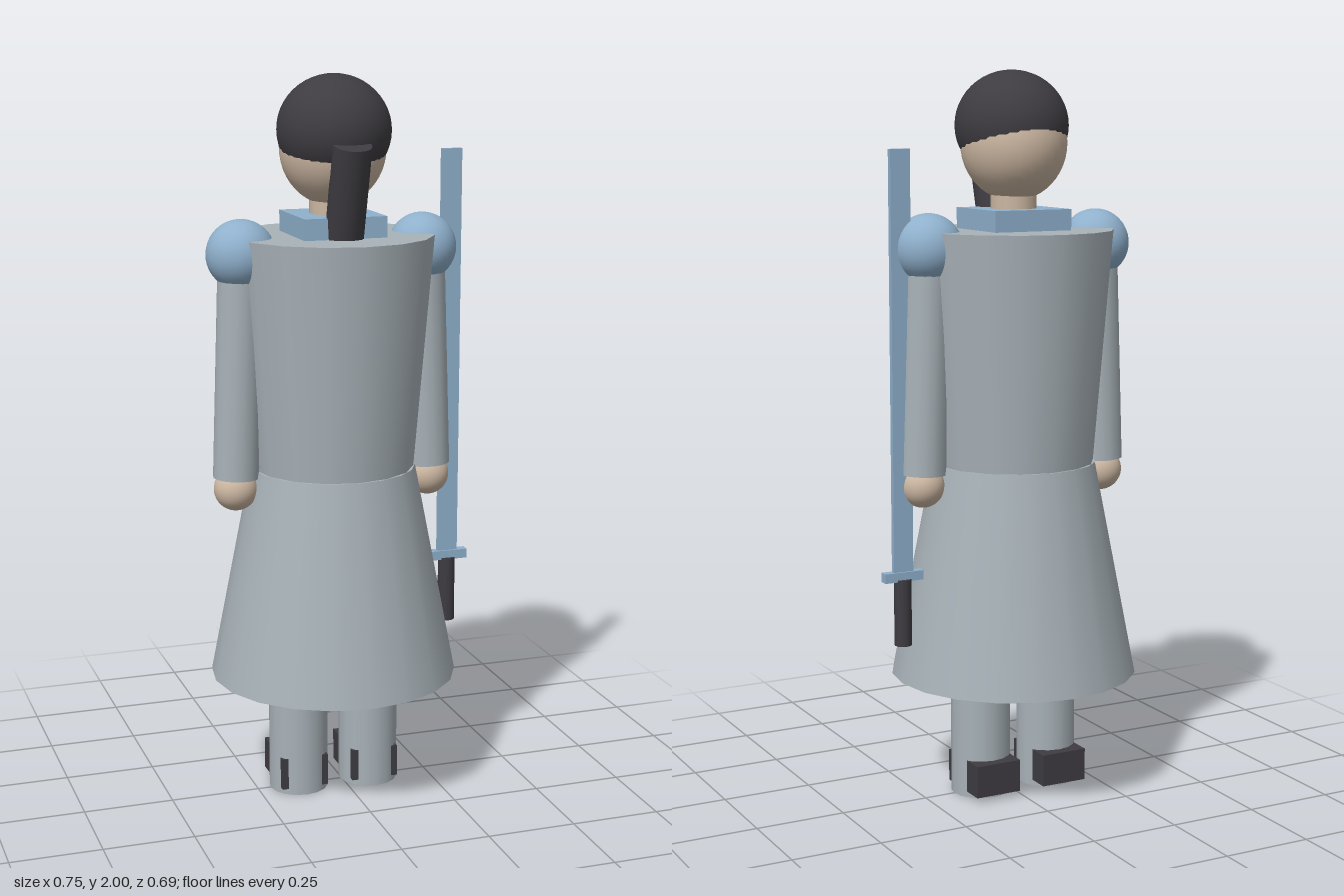
import * as THREE from 'three';

export function createModel() {
  const model = new THREE.Group();
  model.name = 'swordFigure';

  const mat = (name, color) => {
    const m = new THREE.MeshStandardMaterial({ color });
    m.name = name;
    return m;
  };
  const cloth = mat('greyCloth', 0xa8b2b8);
  const steel = mat('blueSteel', 0x8fb0cc);
  const skin = mat('skin', 0xccb7a2);
  const dark = mat('darkHair', 0x3e3c41);

  const CX = -0.026; // body axis

  const add = (name, geometry, material, x, y, z) => {
    const mesh = new THREE.Mesh(geometry, material);
    mesh.name = name;
    mesh.position.set(x, y, z);
    model.add(mesh);
    return mesh;
  };
  const ball = (name, material, x, y, z, rx, ry = rx, rz = rx) => {
    const mesh = add(name, new THREE.SphereGeometry(1, 32, 24), material, x, y, z);
    mesh.scale.set(rx, ry, rz);
    return mesh;
  };
  // Round bar between two points
  const bar = (name, material, a, b, rA, rB, sides) => {
    const from = new THREE.Vector3(...a), to = new THREE.Vector3(...b);
    const dir = to.clone().sub(from);
    const mid = from.clone().add(to).multiplyScalar(0.5);
    const mesh = add(name, new THREE.CylinderGeometry(rB, rA, dir.length(), sides), material, mid.x, mid.y, mid.z);
    mesh.quaternion.setFromUnitVectors(new THREE.Vector3(0, 1, 0), dir.normalize());
    return mesh;
  };

  // Robe
  bar('skirt', cloth, [CX, 0.34, 0], [CX, 0.935, 0], 0.343, 0.227, 20);
  bar('torso', cloth, [CX, 0.93, 0], [CX, 1.573, 0], 0.222, 0.275, 16);
  add('collar', new THREE.BoxGeometry(0.23, 0.07, 0.23), steel, CX, 1.595, 0);

  // Head, with the hair cap shifted up and back so its edge slopes
  bar('neck', skin, [CX, 1.55, 0], [CX, 1.7, 0], 0.063, 0.063, 16);
  ball('head', skin, CX, 1.805, 0, 0.143, 0.155, 0.153);
  ball('hair', dark, CX, 1.852, 0.012, 0.153, 0.148, 0.161);
  bar('ponytail', dark, [CX, 1.46, 0.066], [CX, 1.824, 0.166], 0.052, 0.052, 16);

  // Limbs on both sides
  for (const s of [-1, 1]) {
    const side = s > 0 ? 'left' : 'right';
    bar(side + 'Arm', cloth, [CX + s * 0.278, 0.92, 0], [CX + s * 0.256, 1.53, 0], 0.063, 0.063, 16);
    ball(side + 'Hand', skin, CX + s * 0.279, 0.888, 0, 0.06);
    ball(side + 'ShoulderGuard', steel, CX + s * 0.257, 1.529, 0, 0.094);
    bar(side + 'Leg', cloth, [CX + s * 0.104, 0, 0], [CX + s * 0.104, 0.6, 0], 0.083, 0.083, 16);
    add(side + 'Shoe', new THREE.BoxGeometry(0.134, 0.09, 0.176), dark, CX + s * 0.104, 0.061, -0.023);
  }

  // Upright sword beside the left arm
  const SX = 0.315;
  add('swordBlade', new THREE.BoxGeometry(0.057, 1.143, 0.015), steel, SX, 1.2215, 0);
  add('swordGuard', new THREE.BoxGeometry(0.114, 0.026, 0.026), steel, SX, 0.643, 0);
  bar('swordGrip', dark, [SX, 0.45, 0], [SX, 0.635, 0], 0.024, 0.024, 12);

  return model;
}
